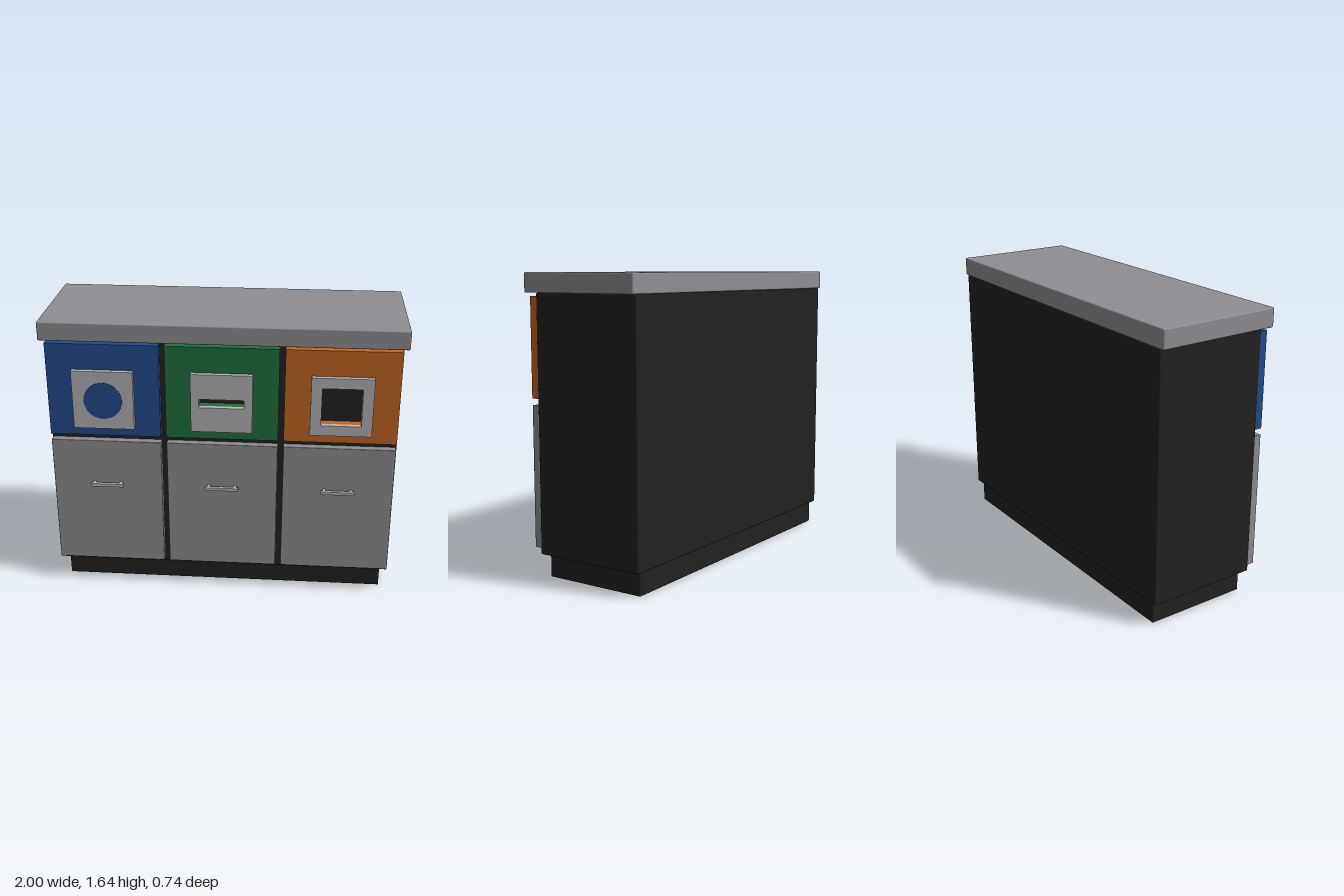
import * as THREE from 'three';
import { RoundedBoxGeometry } from 'three/addons/geometries/RoundedBoxGeometry.js';

function material(name, color) {
  const m = new THREE.MeshStandardMaterial({ color });
  m.name = name;
  return m;
}

// Shape of a rectangle given by centre and size
function rectangle(Type, cx, cy, w, h) {
  const s = new Type();
  s.moveTo(cx - w / 2, cy - h / 2);
  s.lineTo(cx + w / 2, cy - h / 2);
  s.lineTo(cx + w / 2, cy + h / 2);
  s.lineTo(cx - w / 2, cy + h / 2);
  s.closePath();
  return s;
}

export function createModel() {
  const grey = material('door grey', 0x8f8e93);
  const dark = material('carcass black', 0x222222);
  const silver = material('brushed silver', 0xb4b5b8);
  const blue = material('blue', 0x234b8d);
  const green = material('green', 0x22713f);
  const orange = material('orange', 0xc46422);

  const group = new THREE.Group();
  group.name = 'recyclingStation';

  const add = (parent, name, geometry, mat) => {
    const mesh = new THREE.Mesh(geometry, mat);
    mesh.name = name;
    parent.add(mesh);
    return mesh;
  };

  // Box from its limits, with an optional softened edge
  const box = (parent, name, mat, [x0, x1], [y0, y1], [z0, z1], r = 0) => {
    const size = [x1 - x0, y1 - y0, z1 - z0];
    const geometry = r ? new RoundedBoxGeometry(...size, 2, r) : new THREE.BoxGeometry(...size);
    add(parent, name, geometry, mat).position.set((x0 + x1) / 2, (y0 + y1) / 2, (z0 + z1) / 2);
  };

  // Upright slab with an optional rectangular opening
  const slab = (parent, name, mat, cy, w, h, z, depth, hole) => {
    const shape = rectangle(THREE.Shape, 0, cy, w, h);
    if (hole) shape.holes.push(rectangle(THREE.Path, 0, 1.2, ...hole));
    const geometry = new THREE.ExtrudeGeometry(shape, { depth, bevelEnabled: false });
    add(parent, name, geometry, mat).position.z = z;
  };

  // Cabinet
  box(group, 'plinth', dark, [-0.935, 0.935], [0, 0.13], [-0.353, 0.253], 0.006);
  box(group, 'carcass', dark, [-0.975, 0.975], [0.13, 1.536], [-0.37, 0.285], 0.006);
  box(group, 'countertop', grey, [-1, 1], [1.536, 1.642], [-0.37, 0.346], 0.008);

  // Three bays, each with a door, handle, coloured panel and opening plate
  const bays = [
    { name: 'blueBay', x: -0.657, mat: blue },
    { name: 'greenBay', x: 0, mat: green, hole: [0.25, 0.05] },
    { name: 'orangeBay', x: 0.657, mat: orange, hole: [0.22, 0.22] },
  ];
  for (const { name, x, mat, hole } of bays) {
    const bay = new THREE.Group();
    bay.name = name;
    bay.position.x = x;
    group.add(bay);

    box(bay, 'door', grey, [-0.313, 0.313], [0.162, 0.94], [0.285, 0.33], 0.004);
    box(bay, 'handleBar', silver, [-0.095, 0.095], [0.667, 0.685], [0.352, 0.371]);
    for (const side of [-1, 1]) {
      const px = side * 0.075;
      box(bay, 'handlePost', silver, [px - 0.008, px + 0.008], [0.669, 0.683], [0.328, 0.353]);
    }

    slab(bay, 'upperPanel', mat, 1.247, 0.626, 0.542, 0.285, 0.045, hole);
    slab(bay, 'openingPlate', silver, 1.2, 0.34, 0.34, 0.33, 0.028, hole);

    // Round marker on the plate without an opening
    if (!hole) {
      const disc = add(bay, 'roundInset', new THREE.CylinderGeometry(0.107, 0.107, 0.004, 48), mat);
      disc.rotation.x = Math.PI / 2;
      disc.position.set(0, 1.198, 0.359);
    }
  }
  return group;
}
